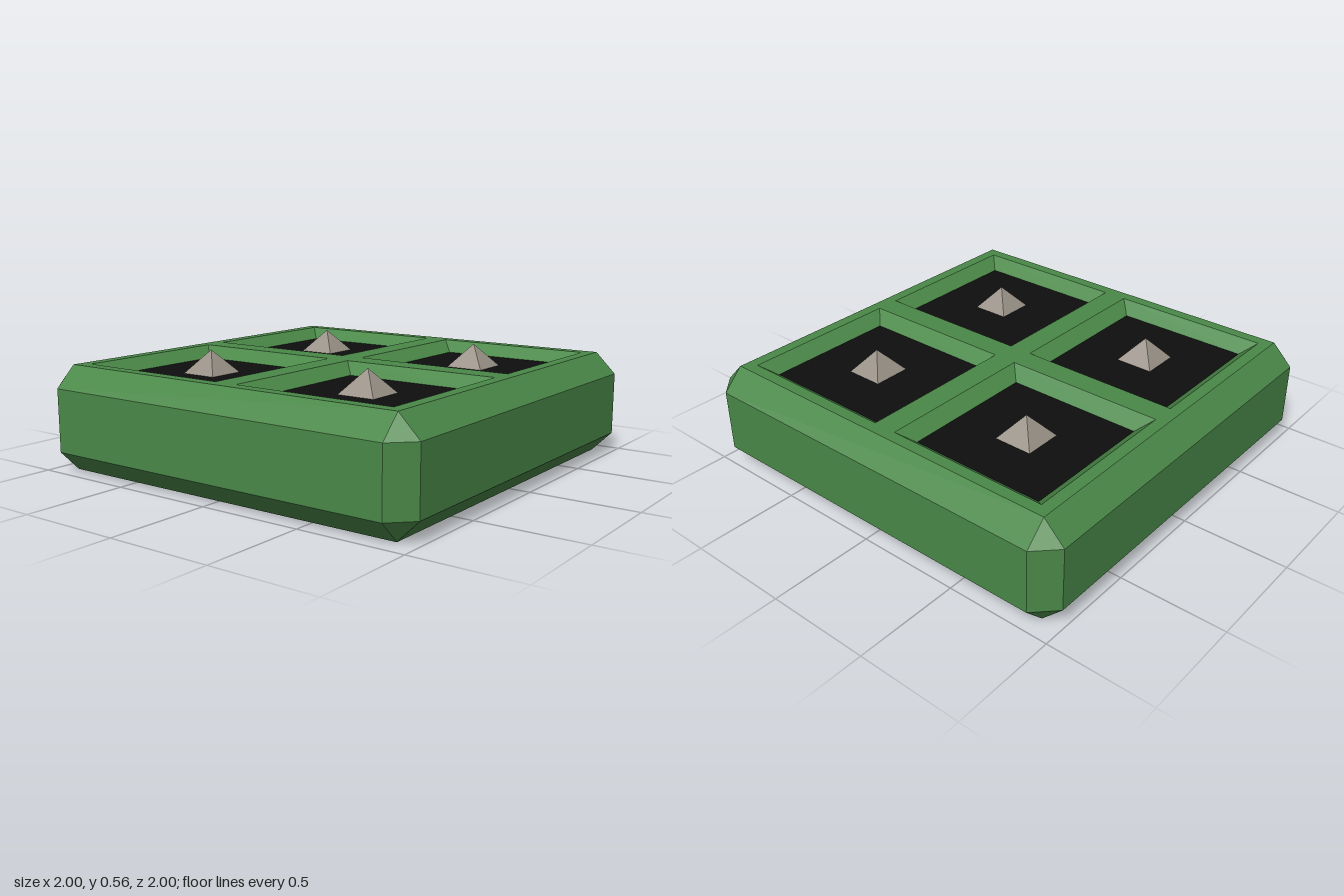
import * as THREE from 'three';

const HALF = 1, HEIGHT = 0.5, BEVEL = 0.1;
const FLOOR_Y = 0.445;                       // depth of the recessed panels
const PANEL = 0.451;                         // panel centre offset in x and z
const RIM = 0.393, FLOOR = 0.328, STUD = 0.0925, STUD_TOP = 0.555;

const green = new THREE.MeshStandardMaterial({ name: 'green', color: 0x4a8848, flatShading: true, side: THREE.DoubleSide });
const black = new THREE.MeshStandardMaterial({ name: 'black', color: 0x0e0e0e, flatShading: true });
const stone = new THREE.MeshStandardMaterial({ name: 'stoneGrey', color: 0x999187, flatShading: true });

function mesh(name, geometry, material) {
  const m = new THREE.Mesh(geometry, material);
  m.name = name;
  return m;
}

// Square outline with cut corners, walked from +z towards +x.
function ring(y, half) {
  const c = HALF - BEVEL;
  const points = [];
  for (let i = 0; i < 4; i++) {
    const a = i * Math.PI / 2;
    for (const u of [-c, c]) {
      points.push([u * Math.cos(a) + half * Math.sin(a), y, half * Math.cos(a) - u * Math.sin(a)]);
    }
  }
  return points;
}

// Bevelled sides and closed underside; the top is a separate plate.
function shellGeometry() {
  const c = HALF - BEVEL;
  const rings = [ring(0, c), ring(BEVEL, HALF), ring(HEIGHT - BEVEL, HALF), ring(HEIGHT, c)];
  const index = [];
  for (let r = 0; r < 3; r++) {
    for (let i = 0; i < 8; i++) {
      const a = r * 8 + i, b = r * 8 + (i + 1) % 8;
      const joined = i % 2 === 1;            // corner points meet on the end rings
      if (!(joined && r === 0)) index.push(a, b, b + 8);
      if (!(joined && r === 2)) index.push(a, b + 8, a + 8);
    }
  }
  index.push(0, 4, 2, 0, 6, 4);
  const g = new THREE.BufferGeometry();
  g.setAttribute('position', new THREE.Float32BufferAttribute(rings.flat(2), 3));
  g.setIndex(index);
  g.computeVertexNormals();
  return g;
}

function square(target, x, y, half) {
  return target.moveTo(x - half, y - half).lineTo(x + half, y - half)
    .lineTo(x + half, y + half).lineTo(x - half, y + half).closePath();
}

// Four-sided tapered ring or pyramid, given half widths of its sides.
function taper(top, bottom, height, open) {
  return new THREE.CylinderGeometry(top * Math.SQRT2, bottom * Math.SQRT2, height, 4, 1, open)
    .rotateY(Math.PI / 4);
}

export function createModel() {
  const group = new THREE.Group();
  group.name = 'studdedBlock';
  group.add(mesh('bevelledBody', shellGeometry(), green));

  const topShape = square(new THREE.Shape(), 0, 0, HALF - BEVEL);
  const depth = HEIGHT - FLOOR_Y;
  for (const x of [-PANEL, PANEL]) {
    for (const z of [-PANEL, PANEL]) {
      topShape.holes.push(square(new THREE.Path(), x, z, RIM));

      const panel = new THREE.Group();
      panel.name = 'recessedPanel';
      panel.position.set(x, FLOOR_Y, z);

      const walls = mesh('slopedWalls', taper(RIM, FLOOR, depth, true), green);
      walls.position.y = depth / 2;

      const floor = mesh('panelFloor', new THREE.PlaneGeometry(FLOOR * 2, FLOOR * 2).rotateX(-Math.PI / 2), black);

      const studHeight = STUD_TOP - FLOOR_Y;
      const stud = mesh('pyramidStud', taper(0, STUD, studHeight, true), stone);
      stud.position.y = studHeight / 2;

      panel.add(walls, floor, stud);
      group.add(panel);
    }
  }

  // Top frame around the four panels
  const top = mesh('topFrame', new THREE.ShapeGeometry(topShape).rotateX(-Math.PI / 2), green);
  top.position.y = HEIGHT;
  group.add(top);
  return group;
}
